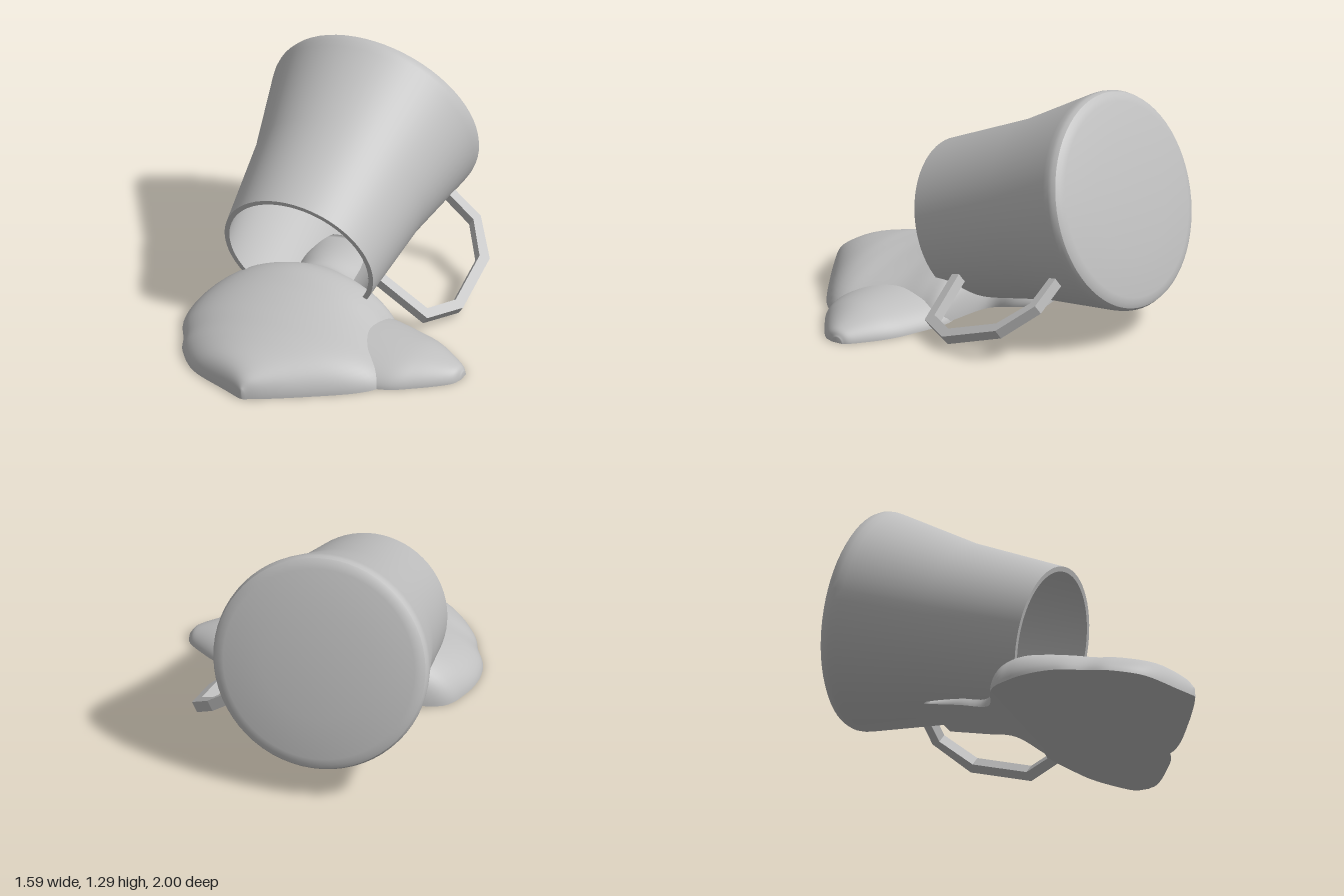
import * as THREE from 'three';
import { mergeGeometries, toCreasedNormals } from 'three/addons/utils/BufferGeometryUtils.js';

const v2 = (list) => list.map(([x, y]) => new THREE.Vector2(x, y));

// Smooth surface over a grid of points given row by row
function gridSurface(rows) {
  const n = rows[0].length;
  const index = [];
  for (let i = 0; i < rows.length - 1; i++) {
    for (let j = 0; j < n - 1; j++) {
      const a = i * n + j, b = a + n;
      index.push(a, a + 1, b, a + 1, b + 1, b);
    }
  }
  const geo = new THREE.BufferGeometry();
  geo.setAttribute('position', new THREE.Float32BufferAttribute(rows.flat(2), 3));
  geo.setIndex(index);
  geo.computeVertexNormals();
  return geo;
}

// Flat-bottomed blob through sections [z, left x, right x, height, base y]
function blob(keys, steps) {
  const spline = (f) => new THREE.CatmullRomCurve3(keys.map(f), false, 'catmullrom');
  const plan = spline((k) => new THREE.Vector3(k[1], k[2], k[0]));
  const rise = spline((k) => new THREE.Vector3(k[3], k[4] || 0, 0));
  const dome = [], floor = [];
  for (let i = 0; i <= steps; i++) {
    const p = plan.getPoint(i / steps);
    const r = rise.getPoint(i / steps);
    const base = Math.max(0, r.y);
    const mid = (p.x + p.y) / 2, half = (p.y - p.x) / 2;
    const row = [];
    for (let j = 0; j <= 32; j++) {
      const t = (Math.PI * j) / 32;
      const s = Math.max(0, Math.sin(t));
      row.push([mid - half * Math.cos(t), base + r.x * Math.pow(s, 1.15), p.z]);
    }
    dome.push(row);
    floor.push([row[32], row[0]]);
  }
  // Close both ends with a collapsed row
  for (const [end, at] of [[0, 'unshift'], [dome.length - 1, 'push']]) {
    const [a, b] = [dome[end][0], dome[end][32]];
    const c = [(a[0] + b[0]) / 2, a[1], a[2]];
    dome[at](dome[end].map(() => [...c]));
  }
  return mergeGeometries([gridSurface(dome), gridSurface(floor)]);
}

export function createModel() {
  const model = new THREE.Group();
  model.name = 'spilledMug';
  const grey = new THREE.MeshStandardMaterial({ color: 0xc0c0c0 });
  grey.name = 'plainGrey';

  const add = (parent, name, geo) => {
    const mesh = new THREE.Mesh(geo, grey);
    mesh.name = name;
    parent.add(mesh);
    return mesh;
  };

  // Tipped mug: local y runs from the mouth to the base
  const mug = new THREE.Group();
  mug.name = 'mug';
  mug.position.set(-0.215, 0.417, 0.2);
  mug.rotation.x = -1.263;
  model.add(mug);

  // Hollow body: inner floor, inner wall, lip, outer wall, rounded base
  const profile = v2([
    [0, 1.03], [0.535, 1.03], [0.455, 0.54], [0.398, 0],
    [0.425, 0], [0.482, 0.54], [0.578, 0.99], [0.584, 1.025],
    [0.583, 1.05], [0.574, 1.07], [0.552, 1.085], [0.52, 1.092],
    [0.297, 1.123], [0, 1.123],
  ]);
  add(mug, 'mugBody', toCreasedNormals(new THREE.LatheGeometry(profile, 64), 0.5));

  // Angular handle, swung down around the mug's axis
  const outline = new THREE.Shape(v2([
    [0.53, 0.89], [0.74, 0.83], [0.89, 0.63], [0.89, 0.27], [0.75, 0.09], [0.38, 0.14],
    [0.38, 0.19], [0.725, 0.145], [0.835, 0.29], [0.835, 0.61], [0.715, 0.785], [0.53, 0.84],
  ]));
  const handleGeo = new THREE.ExtrudeGeometry(outline, { depth: 0.06, bevelEnabled: false });
  handleGeo.translate(0, 0, -0.03);
  add(mug, 'handle', handleGeo).rotation.y = THREE.MathUtils.degToRad(32);

  // Main spill, with a tail running up into the mug
  add(model, 'mainSpill', blob([
    [0.998, -0.2, -0.18, 0.05], [0.95, -0.31, -0.08, 0.11],
    [0.85, -0.53, 0.1, 0.165], [0.7, -0.66, 0.34, 0.205],
    [0.58, -0.71, 0.44, 0.22], [0.45, -0.77, 0.42, 0.235],
    [0.3, -0.78, 0.36, 0.265], [0.15, -0.74, 0.32, 0.295],
    [0.03, -0.66, 0.27, 0.27], [-0.08, -0.42, 0, 0.18, 0.03],
    [-0.25, -0.41, -0.02, 0.12, 0.07], [-0.45, -0.4, -0.03, 0.05, 0.115],
  ], 66));

  // Side lobe, built along z and turned to run along x
  add(model, 'sideSpill', blob([
    [0.79, -0.35, -0.29, 0.03], [0.75, -0.42, -0.24, 0.07],
    [0.6, -0.53, -0.13, 0.12], [0.45, -0.61, -0.065, 0.14],
    [0.22, -0.64, 0, 0.15], [0.05, -0.6, -0.05, 0.15],
  ], 40)).rotation.y = Math.PI / 2;

  return model;
}
